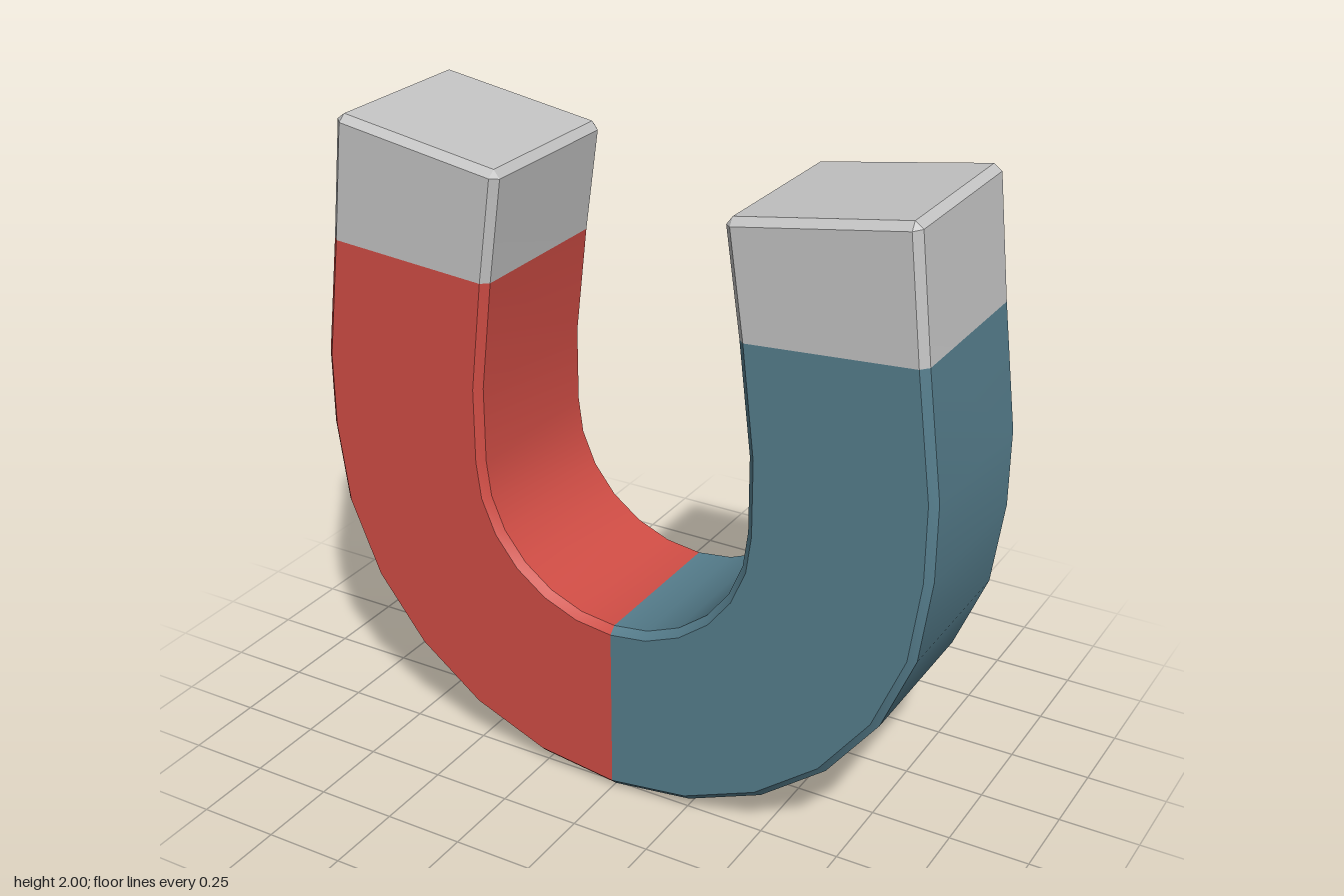
import * as THREE from 'three';
import { toCreasedNormals } from 'three/addons/utils/BufferGeometryUtils.js';

const HALF_DEPTH = 0.28;
const BEVEL = 0.022;

// Chamfered rectangular section between an outer and an inner point
function section(outer, inner, end = false) {
  const u = outer.clone().sub(inner).setLength(BEVEL);
  const o = outer.clone().sub(u), i = inner.clone().add(u);
  const h = HALF_DEPTH, d = h - BEVEL;
  const at = (p, z) => new THREE.Vector3(p.x, p.y, z);
  // the end section is inset all round, so its corners collapse to four points
  if (end) return [at(o, -d), at(o, d), at(o, d), at(i, d), at(i, d), at(i, -d), at(i, -d), at(o, -d)];
  return [at(outer, -d), at(outer, d), at(o, h), at(i, h), at(inner, d), at(inner, -d), at(i, -h), at(o, -h)];
}

export function createModel() {
  const group = new THREE.Group();
  group.name = 'horseshoeMagnet';
  const material = (name, color) => {
    const m = new THREE.MeshStandardMaterial({ color });
    m.name = name;
    return m;
  };
  const red = material('red', 0xd04d45);
  const blue = material('blue', 0x567e8d);
  const grey = material('grey', 0xc4c4c4);

  // Sections of one half: a quarter-circle bend, then a leg leaning inwards
  const v = (x, y) => new THREE.Vector2(x, y);
  const half = [];
  for (let k = 0; k <= 6; k++) {
    const a = (k * Math.PI) / 12;
    const s = Math.sin(a), c = Math.cos(a);
    half.push(section(v(s, 1 - c), v(0.44 * s, 1 - 0.435 * c)));
  }
  half.push(section(v(1, 1.235), v(0.44, 1.235)));
  half.push(section(v(0.951, 1.613), v(0.401, 1.573)));
  const tipOuter = v(0.907, 2.0), tipInner = v(0.353, 1.912);
  const back = v(0.122, -0.9925).multiplyScalar(BEVEL);
  half.push(section(tipOuter.clone().add(back), tipInner.clone().add(back)));
  half.push(section(tipOuter, tipInner, true));

  // Full sweep from the right tip round to the left tip
  const mirrored = half.slice(1).reverse().map(r => r.map(p => v3(-p.x, p.y, p.z)));
  const rings = [...mirrored, ...half];

  const positions = [];
  const tri = (a, b, c) => {
    if (a.equals(b) || b.equals(c) || c.equals(a)) return;
    for (const p of [a, b, c]) positions.push(p.x, p.y, p.z);
  };
  const cap = (ring, flip) => {
    const [a, b, c, d] = [ring[0], ring[1], ring[3], ring[5]];
    if (flip) { tri(a, c, b); tri(a, d, c); } else { tri(a, b, c); tri(a, c, d); }
  };

  // Each part covers a span of rings
  const last = rings.length - 1;
  const parts = [
    ['rightTip', grey, 0, 2],
    ['rightArm', red, 2, last / 2],
    ['leftArm', blue, last / 2, last - 2],
    ['leftTip', grey, last - 2, last],
  ];
  const ranges = parts.map(([, , from, to]) => {
    const start = positions.length;
    if (from === 0) cap(rings[0], false);
    for (let i = from; i < to; i++) {
      for (let j = 0; j < 8; j++) {
        const k = (j + 1) % 8;
        const a = rings[i][j], b = rings[i + 1][j], c = rings[i + 1][k], d = rings[i][k];
        tri(a, b, c);
        tri(a, c, d);
      }
    }
    if (to === last) cap(rings[last], true);
    return [start, positions.length];
  });

  // Smooth along the sweep, sharp at the chamfers, continuous across the seams
  let whole = new THREE.BufferGeometry();
  whole.setAttribute('position', new THREE.Float32BufferAttribute(positions, 3));
  whole = toCreasedNormals(whole, Math.PI / 6);

  parts.forEach(([name, mat], n) => {
    const geometry = new THREE.BufferGeometry();
    for (const key of ['position', 'normal']) {
      const data = whole.getAttribute(key).array.slice(...ranges[n]);
      geometry.setAttribute(key, new THREE.BufferAttribute(data, 3));
    }
    const mesh = new THREE.Mesh(geometry, mat);
    mesh.name = name;
    group.add(mesh);
  });
  return group;
}

function v3(x, y, z) {
  return new THREE.Vector3(x, y, z);
}
